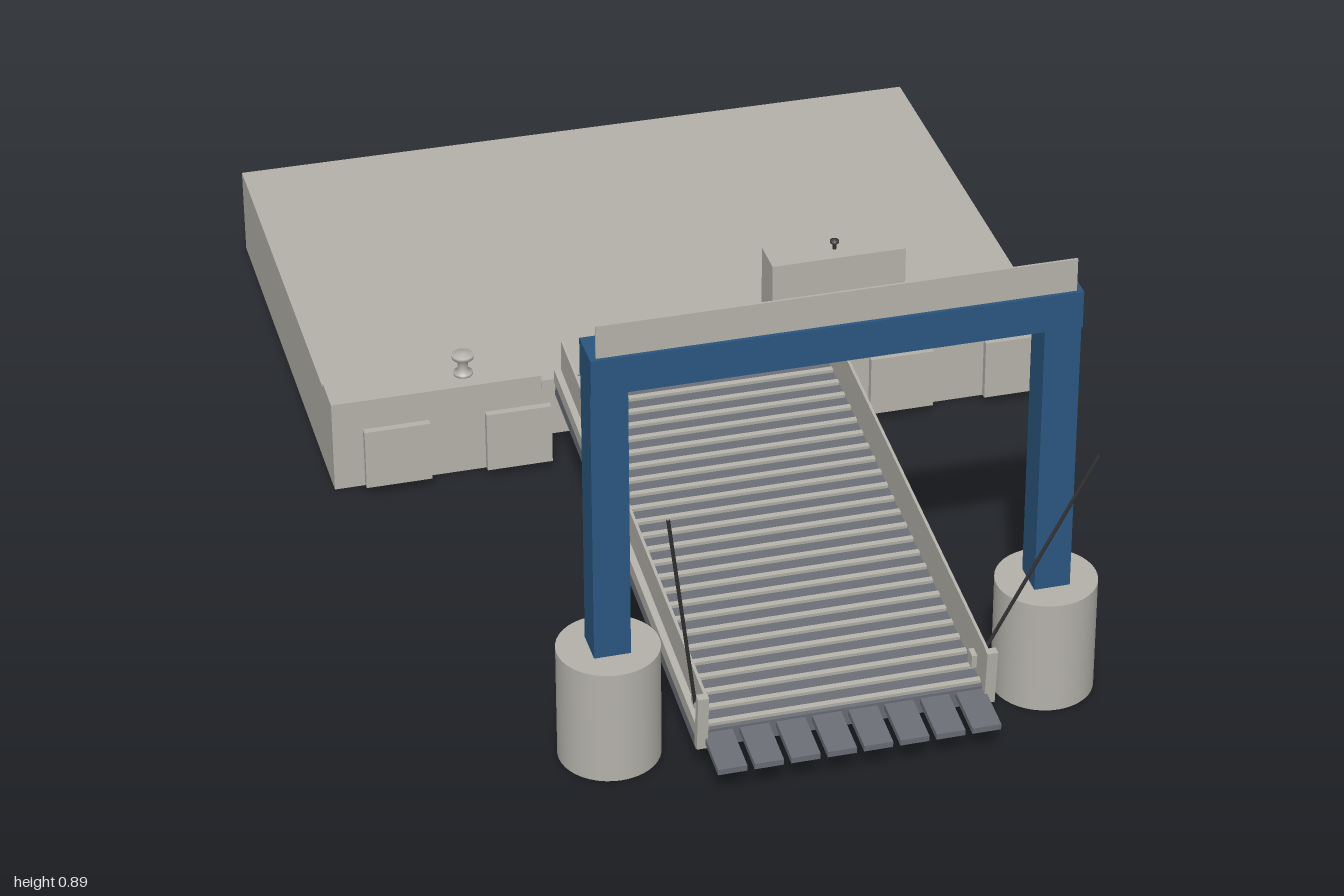
import * as THREE from 'three';

const mat = (name, color, side = THREE.FrontSide) => {
  const m = new THREE.MeshStandardMaterial({ color, side });
  m.name = name;
  return m;
};

export function createModel() {
  const concrete = mat('light grey', 0xb3b1a9);
  const blue = mat('blue paint', 0x2b567f);
  const slate = mat('slate deck', 0x6a6e75);
  const dark = mat('dark cable', 0x3c3c3c);

  const root = new THREE.Group();
  root.name = 'ferryRamp';
  root.position.x = -0.005;

  const add = (parent, name, geo, m, x = 0, y = 0, z = 0) => {
    const mesh = new THREE.Mesh(geo, m);
    mesh.name = name;
    mesh.position.set(x, y, z);
    parent.add(mesh);
    return mesh;
  };
  // box given by its limits on each axis
  const box = (parent, name, m, [x0, x1], [y0, y1], [z0, z1]) =>
    add(parent, name, new THREE.BoxGeometry(x1 - x0, y1 - y0, z1 - z0), m,
      (x0 + x1) / 2, (y0 + y1) / 2, (z0 + z1) / 2);
  const group = (name, parent = root) => {
    const g = new THREE.Group();
    g.name = name;
    parent.add(g);
    return g;
  };
  const lathe = (pts, n = 24) =>
    new THREE.LatheGeometry(pts.map(p => new THREE.Vector2(...p)), n);

  // Quay slab with a lip that meets the ramp
  const quay = group('quay');
  box(quay, 'quaySlab', concrete, [-0.642, 0.642], [0, 0.163], [-1, -0.223]);
  box(quay, 'quayLip', concrete, [-0.27, 0.27], [0.14, 0.163], [-0.223, -0.145]);

  // Quay walls, fenders and mooring bollards
  const cone = new THREE.CylinderGeometry(0.024, 0.017, 0.028, 20).rotateX(Math.PI / 2);
  const bollard = lathe([[0, 0], [0.017, 0], [0.017, 0.006], [0.009, 0.01],
    [0.009, 0.028], [0.019, 0.034], [0.019, 0.041], [0, 0.044]]);
  for (const s of [-1, 1]) {
    const [a, b] = s < 0 ? [-0.642, -0.27] : [0.27, 0.642];
    box(quay, 'quayWall', concrete, [a, b], [0, 0.173], [-0.223, -0.146]);
    for (const x of s < 0 ? [-0.535, -0.32] : [0.375, 0.587]) {
      const f = group('fender', quay);
      box(f, 'fenderPanel', concrete, [x - 0.058, x + 0.058], [0.02, 0.133], [-0.119, -0.106]);
      for (const d of [-0.028, 0.028])
        add(f, 'fenderCone', cone, concrete, x + d, 0.077, -0.132);
    }
    add(quay, 'bollard', bollard, concrete, s < 0 ? -0.4 : 0.51, 0.172, -0.188);
  }

  // Sloping ramp, hinged on the quay; local z runs down to the front
  const ramp = group('ramp');
  ramp.position.set(0, 0.165, -0.145);
  ramp.rotation.x = 0.09;
  const L = 0.955;
  box(ramp, 'rampDeck', slate, [-0.236, 0.236], [-0.036, 0], [0, L]);
  const cleats = 26;
  for (let i = 0; i < cleats; i++) {
    const z = 0.012 + (i * (L - 0.03)) / (cleats - 1);
    box(ramp, 'deckCleat', concrete, [-0.23, 0.23], [0, 0.006], [z, z + 0.01]);
  }
  for (const s of [-1, 1]) {
    const span = (p, q) => (s < 0 ? [-q, -p] : [p, q]);
    box(ramp, 'sidePanel', concrete, span(0.231, 0.236), [0, 0.078], [0, L]);
    box(ramp, 'sideLedge', concrete, span(0.236, 0.248), [-0.008, 0.018], [0, L]);
    box(ramp, 'sideBeam', slate, span(0.236, 0.246), [-0.036, -0.008], [0, L]);
    box(ramp, 'endPost', concrete, span(0.23, 0.248), [-0.025, 0.078], [L, L + 0.014]);
    box(ramp, 'cableBracket', concrete, span(0.222, 0.24), [0.01, 0.035], [0.9, 0.92]);
  }
  // Hinged landing fingers at the ship end
  for (let i = 0; i < 8; i++) {
    const x = -0.21 + i * 0.06;
    box(ramp, 'landingFinger', slate, [x - 0.024, x + 0.024], [-0.016, -0.005], [L, L + 0.09]);
  }

  // Lifting gantry
  const gantry = group('gantry');
  const pier = new THREE.CylinderGeometry(0.084, 0.084, 0.205, 40);
  for (const s of [-1, 1]) {
    const x = s * 0.365;
    add(gantry, 'pier', pier, concrete, x, 0.1025, 0.712);
    box(gantry, 'gantryLeg', blue, [x - 0.03, x + 0.03], [0.2, 0.7], [0.68, 0.742]);
    box(gantry, 'legRail', concrete, [x - 0.014, x + 0.014], [0.205, 0.695], [0.674, 0.681]);
  }
  box(gantry, 'crossBeam', blue, [-0.395, 0.395], [0.696, 0.76], [0.676, 0.748]);
  box(gantry, 'beamPanel', concrete, [-0.385, 0.385], [0.76, 0.817], [0.738, 0.742]);
  box(gantry, 'winchHouse', concrete, [-0.106, 0.106], [0.76, 0.877], [0.678, 0.738]);
  add(gantry, 'beacon', lathe([[0, 0], [0.003, 0], [0.003, 0.008], [0.007, 0.011],
    [0.007, 0.015], [0, 0.017]], 16), dark, 0, 0.877, 0.71);

  // Slanting cables from the ramp end
  for (const s of [-1, 1]) {
    const path = new THREE.LineCurve3(
      new THREE.Vector3(s * 0.236, 0.1, 0.765), new THREE.Vector3(s * 0.34, 0.627, 1));
    add(root, 'cable', new THREE.TubeGeometry(path, 1, 0.003, 8), dark);
  }

  const model = new THREE.Group();
  model.name = 'model';
  model.add(root);
  return model;
}
